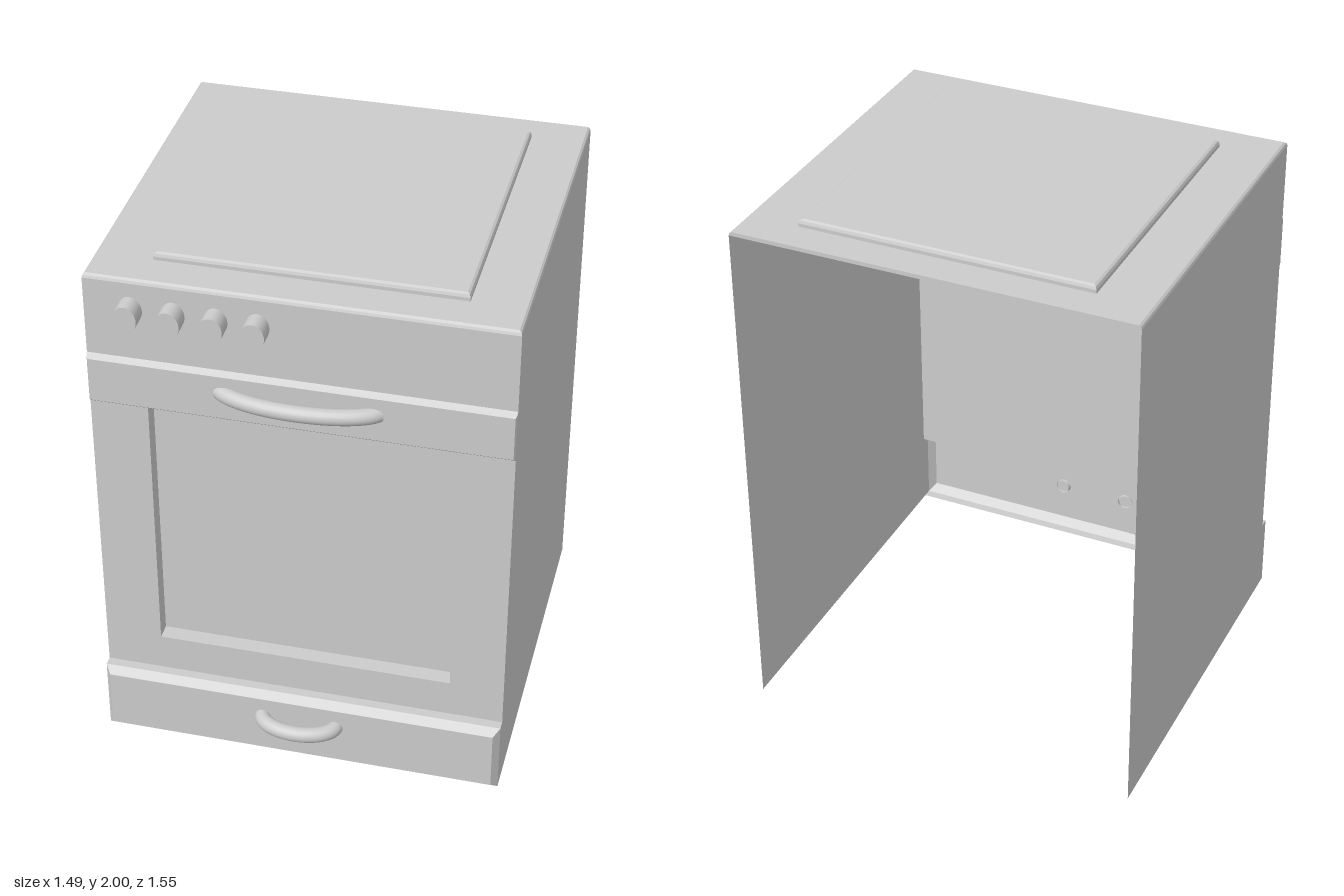
import * as THREE from 'three';

const material = new THREE.MeshStandardMaterial({ color: 0xcccccc, side: THREE.DoubleSide });
const W = 0.743, FRONT = 0.615, BACK = -0.775;

function add(parent, name, geometry, x = 0, y = 0, z = 0) {
  const mesh = new THREE.Mesh(geometry, material);
  mesh.name = name;
  mesh.position.set(x, y, z);
  parent.add(mesh);
  return mesh;
}

// Pressed sheet panel: joins rectangles [x0, x1, y0, y1, z] in order and closes the last one
function pressedPanel(rects) {
  const rings = rects.map(([x0, x1, y0, y1, z]) => [[x0, y0, z], [x1, y0, z], [x1, y1, z], [x0, y1, z]]);
  const pos = [];
  const quad = (a, b, c, d) => pos.push(...a, ...b, ...c, ...a, ...c, ...d);
  for (let r = 0; r < rings.length - 1; r++) {
    for (let i = 0; i < 4; i++) {
      const j = (i + 1) % 4;
      quad(rings[r][i], rings[r][j], rings[r + 1][j], rings[r + 1][i]);
    }
  }
  quad(...rings[rings.length - 1]);
  const geometry = new THREE.BufferGeometry();
  geometry.setAttribute('position', new THREE.Float32BufferAttribute(pos, 3));
  geometry.computeVertexNormals();
  return geometry;
}

// Bowed handle: tube on an elliptical arc whose ends sink into the panel
function handle(halfWidth, z0, bow, radius, startAngle) {
  const points = [];
  for (let i = 0; i <= 16; i++) {
    const a = Math.PI - startAngle - (i / 16) * (Math.PI - 2 * startAngle);
    points.push(new THREE.Vector3(halfWidth * Math.cos(a), 0, z0 + bow * Math.sin(a)));
  }
  return new THREE.TubeGeometry(new THREE.CatmullRomCurve3(points), 48, radius, 20);
}

export function createModel() {
  const stove = new THREE.Group();
  stove.name = 'stove';

  // Side walls; the back and underside stay open
  for (const [side, name] of [[-1, 'rightWall'], [1, 'leftWall']]) {
    const wall = new THREE.PlaneGeometry(FRONT - BACK, 1.957).rotateY(side * Math.PI / 2);
    add(stove, name, wall, side * W, 1.957 / 2, (FRONT + BACK) / 2);
  }

  // Worktop with softened edges and raised hob cover, built facing +z then laid flat
  const top = pressedPanel([
    [-W, W, -FRONT, -BACK, 1.957],
    [-W + 0.003, W - 0.003, -FRONT + 0.004, -BACK, 1.966],
    [-W + 0.01, W - 0.01, -FRONT + 0.013, -BACK, 1.972],
    [-0.536, 0.546, -0.475, 0.65, 1.972],
    [-0.536, 0.546, -0.475, 0.65, 1.985],
    [-0.532, 0.542, -0.471, 0.646, 1.995],
    [-0.524, 0.534, -0.462, 0.638, 2.0],
  ]).rotateX(-Math.PI / 2);
  add(stove, 'worktop', top);

  // Control panel with openings for the knobs
  const knobX = [-0.58, -0.432, -0.284, -0.14], knobY = 1.853, rx = 0.042, ry = 0.052;
  const panel = new THREE.Shape([
    new THREE.Vector2(-W, 1.655), new THREE.Vector2(W, 1.655),
    new THREE.Vector2(W, 1.957), new THREE.Vector2(-W, 1.957),
  ]);
  for (const x of knobX) {
    panel.holes.push(new THREE.Path().absellipse(x, knobY, rx, ry, 0, Math.PI * 2, true));
  }
  add(stove, 'controlPanel', new THREE.ShapeGeometry(panel, 16), 0, 0, FRONT);

  // Knobs, hollow from behind
  for (const x of knobX) {
    const knob = new THREE.Group();
    knob.name = 'knob';
    knob.position.set(x, knobY, FRONT);
    knob.scale.set(rx, ry, 1);
    add(knob, 'knobRim', new THREE.CylinderGeometry(1, 1, 0.068, 32, 1, true).rotateX(Math.PI / 2), 0, 0, 0.034);
    add(knob, 'knobFace', new THREE.CircleGeometry(1, 32), 0, 0, 0.068);
    stove.add(knob);
  }

  // Raised band carrying the door handle
  add(stove, 'handleBand', pressedPanel([
    [-W, W, 1.46, 1.66, FRONT],
    [-W, W, 1.468, 1.655, 0.622],
    [-W + 0.005, W - 0.005, 1.474, 1.642, 0.632],
  ]));
  add(stove, 'doorHandle', handle(0.29, 0.585, 0.096, 0.029, 0.3), 0, 1.573, 0);

  // Oven door with sunken window
  add(stove, 'ovenDoor', pressedPanel([
    [-W, W, 0.285, 1.462, FRONT],
    [-0.536, 0.546, 0.43, 1.46, FRONT],
    [-0.536, 0.546, 0.43, 1.46, FRONT - 0.06],
  ]));

  // Bottom drawer with chamfered front
  add(stove, 'drawer', pressedPanel([
    [-W, W, 0, 0.285, FRONT],
    [-W, W, 0, 0.285, 0.65],
    [-W + 0.022, W - 0.022, 0.028, 0.262, 0.68],
  ]));
  add(stove, 'drawerHandle', handle(0.138, 0.67, 0.076, 0.029, 0), 0, 0.183, 0);

  return stove;
}
